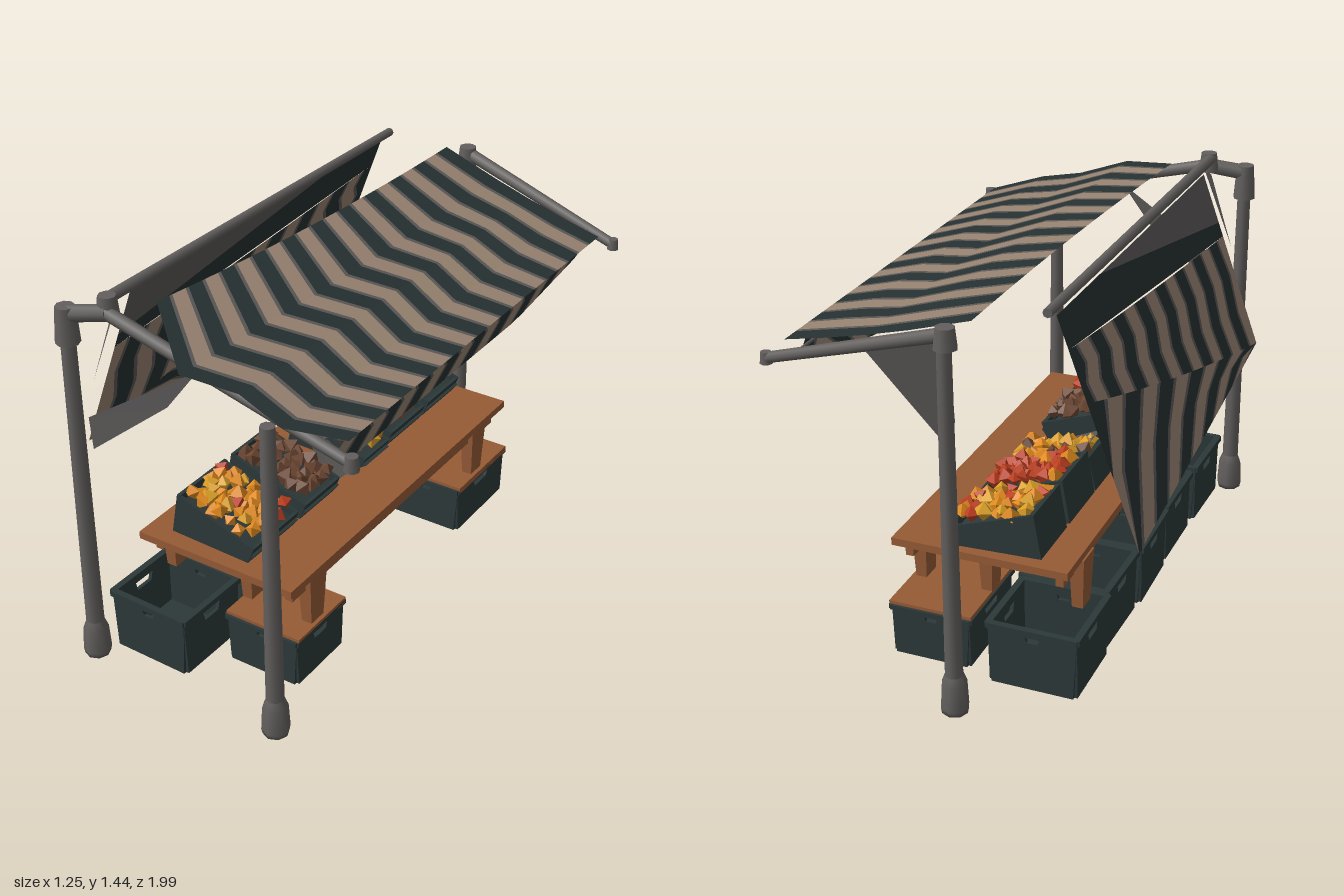
import * as THREE from 'three';
import { mergeGeometries } from 'three/addons/utils/BufferGeometryUtils.js';

const mat = (name, color, flatShading = true, side = THREE.FrontSide) => {
  const m = new THREE.MeshStandardMaterial({ color, side, flatShading });
  m.name = name;
  return m;
};
const lerp = THREE.MathUtils.lerp, clamp = THREE.MathUtils.clamp;
const V = (x, y, z) => new THREE.Vector3(x, y, z);
const shape = pts => new THREE.Shape(pts.map(p => new THREE.Vector2(...p)));

export function createModel() {
  const model = new THREE.Group();
  const metal = mat('pole grey', 0x625f5d, false);
  const wood = mat('table wood', 0x965b36);
  const plastic = mat('crate dark', 0x2c3839);
  const dark = mat('cloth dark', 0x263131, true, THREE.DoubleSide);
  const tan = mat('cloth tan', 0x978270, true, THREE.DoubleSide);
  const grey = mat('cloth grey', 0x5a5857, true, THREE.DoubleSide);
  const orange = mat('fruit orange', 0xe08a1e);
  const red = mat('fruit red', 0xbd3f20);
  const brown = mat('fruit brown', 0x6b4632);
  const yellow = mat('fruit yellow', 0xdca028);

  let seed = 7;
  const rand = () => (seed = (seed * 16807) % 2147483647) / 2147483647;

  const add = (name, geo, material, parent = model) => {
    const m = new THREE.Mesh(geo, material);
    m.name = name;
    parent.add(m);
    return m;
  };
  const box = (name, x0, x1, y0, y1, z0, z1, material, parent) => {
    const m = add(name, new THREE.BoxGeometry(x1 - x0, y1 - y0, z1 - z0), material, parent);
    m.position.set((x0 + x1) / 2, (y0 + y1) / 2, (z0 + z1) / 2);
    return m;
  };
  // tapered bar between two points
  const bar = (name, a, b, r0, r1 = r0, sides = 8) => {
    const m = add(name, new THREE.CylinderGeometry(r1, r0, a.distanceTo(b), sides), metal);
    m.position.copy(a).lerp(b, 0.5);
    m.quaternion.setFromUnitVectors(V(0, 1, 0), b.clone().sub(a).normalize());
  };

  // posts with flared feet
  const post = (name, x, z, top, dz) => {
    bar(name, V(x, 0, z), V(x, top, z + dz), 0.033, 0.025);
    const foot = add(name + 'Foot', new THREE.LatheGeometry(
      [[0, 0], [0.046, 0], [0.05, 0.02], [0.045, 0.11], [0.03, 0.15]].map(p => new THREE.Vector2(...p)), 8), metal);
    foot.position.set(x, 0, z);
  };
  post('frontLeftPost', -0.45, 0.92, 1.33, 0);
  post('frontRightPost', 0.325, 0.92, 1.2, 0);
  post('backPost', -0.05, -0.95, 1.34, -0.01);

  // roof poles and their joints
  bar('frontElbow', V(-0.46, 1.355, 0.92), V(-0.31, 1.38, 0.88), 0.03, 0.028);
  bar('frontRafter', V(-0.33, 1.385, 0.88), V(0.6, 1.15, 0.89), 0.024, 0.019);
  bar('backRafter', V(-0.05, 1.35, -0.95), V(0.6, 1.15, -0.9), 0.024, 0.019);
  bar('ridgePole', V(-0.33, 1.415, 0.86), V(-0.33, 1.415, -0.83), 0.02, 0.016);
  bar('eaveCord', V(0.5, 1.19, 0.88), V(0.5, 1.18, -0.92), 0.006, 0.006, 5);
  const joint = (x, y, z, r, h) => {
    const m = add('poleJoint', new THREE.CylinderGeometry(r * 0.8, r, h, 8), metal);
    m.position.set(x, y, z);
  };
  joint(-0.45, 1.32, 0.92, 0.042, 0.13);
  joint(-0.32, 1.4, 0.865, 0.038, 0.07);
  joint(-0.05, 1.34, -0.95, 0.04, 0.07);
  joint(0.605, 1.15, 0.89, 0.026, 0.05);
  joint(0.605, 1.15, -0.9, 0.022, 0.04);

  // striped cloth: P(s, j) gives a point, s along the stripe sequence, j a column
  const stripes = (name, P, cols, count, s0 = 0, s1 = 1) => {
    const pos = [], geo = new THREE.BufferGeometry();
    const bands = [[0.42, 0], [0.09, 2], [0.4, 1], [0.09, 2]];
    const step = (s1 - s0) / count;
    for (let k = 0; k < count; k++) {
      let s = s0 + k * step;
      for (const [part, index] of bands) {
        const e = s + part * step, start = pos.length / 3;
        for (let j = 0; j < cols - 1; j++) {
          const a = P(s, j), b = P(e, j), c = P(e, j + 1), d = P(s, j + 1);
          for (const p of [a, b, c, a, c, d]) pos.push(p.x, p.y, p.z);
        }
        geo.addGroup(start, pos.length / 3 - start, index);
        s = e;
      }
    }
    geo.setAttribute('position', new THREE.Float32BufferAttribute(pos, 3));
    geo.computeVertexNormals();
    add(name, geo, [dark, tan, grey]);
  };

  // sloping roof cloth with chevron stripes and a ragged front edge
  const roofT = [0, 0.33, 0.55, 0.78, 1];
  const ragged = [-0.2, 0.02, -0.05, -0.02, -0.12];
  const zig = [-0.02, 0.03, -0.025, 0.03, 0];
  stripes('roofCloth', (u, j) => {
    const s = Math.min(u, 1), t = roofT[j], x = lerp(-0.11 - 0.09 * s * s, 0.57, t);
    const z = -0.89 + 0.05 * t + s * (1.86 - 0.05 * t) + ragged[j] * s * s + zig[j] * Math.sin(Math.PI * s);
    return V(x, 1.402 - (x + 0.19) * 0.275 - 0.012 * Math.sin(Math.PI * t), z);
  }, 5, 11, 0, 1.06);

  // valance under the eave
  stripes('valance', (s, j) => {
    const drop = j * (0.5 - (s > 0.9 ? (s - 0.9) * 3 : 0) - (s < 0.25 ? (0.25 - s) * 1.1 : 0));
    return V(0.53 - drop * 0.04, 1.185 - drop * 0.15, -0.8 + s * 1.64 + zig[j + 1]);
  }, 3, 9);

  // fan of triangles over a convex outline
  const panel = (name, pts, material) => {
    const geo = new THREE.BufferGeometry().setFromPoints(pts), index = [];
    for (let i = 1; i < pts.length - 1; i++) index.push(0, i, i + 1);
    geo.setIndex(index);
    geo.computeVertexNormals();
    add(name, geo, material);
  };

  // hanging side cloth: plain top, upright stripes, then a slanting piece below the diagonal fold
  const side = (s, t) => V(lerp(-0.34, -0.62 + 0.04 * s, t), lerp(1.39, 0.63 + 0.11 * s, t), -0.78 + 1.51 * s);
  const fold = s => 0.36 + 0.64 * s;
  stripes('sideClothUpper', (u, j) => {
    const s = clamp(u + [0, 0.015, -0.01, 0][j], 0, 1);
    return side(s, lerp(0.14 + 0.22 * s, fold(s), j / 3));
  }, 4, 8, -0.02, 1.02);
  stripes('sideClothLower', (u, j) => {
    const s = clamp(u - 0.12 * j, 0, 1);
    return side(s, lerp(fold(s), 1, j / 2));
  }, 3, 7, 0, 1.28);
  panel('sideClothBand', [side(0, 0.14), side(1, 0.36), side(1, 0.28), side(0.25, 0), side(0, 0)], dark);
  panel('sideClothTop', [side(0.25, 0), side(1, 0.28), side(1, 0)], grey);

  // loose flaps at both ends
  panel('frontFlap', [V(-0.43, 0.96, 0.88), V(-0.42, 0.84, 0.88), V(-0.1, 1.1, 0.87), V(0.03, 1.27, 0.87)], grey);
  panel('frontGusset', [V(-0.3, 1.38, 0.86), V(-0.35, 1.37, 0.8), V(-0.43, 1.08, 0.84)], grey);
  panel('backFlap', [V(-0.02, 1.29, -0.87), V(-0.02, 1.0, -0.83), V(0.04, 0.93, -0.82), V(0.27, 1.21, -0.86)], grey);
  panel('backFlapPatch', [V(0.04, 1.25, -0.85), V(0.07, 1.16, -0.835), V(0.13, 1.15, -0.835), V(0.19, 1.22, -0.85)], dark);

  // crate: floor, four slotted walls and a rim, base centre at the origin
  const crate = (name, w, h, d) => {
    const g = new THREE.Group();
    g.name = name;
    const wall = (len, x, z, turn, slot) => {
      const s = shape([[-len / 2 + 0.012, 0], [len / 2 - 0.012, 0], [len / 2, h], [-len / 2, h]]);
      const a = len * slot, y0 = h * (0.86 - slot), y1 = h * 0.86;
      s.holes.push(shape([[-a, y1], [a, y1], [a * 0.8, y0], [-a * 0.8, y0]]));
      const geo = new THREE.ExtrudeGeometry(s, { depth: 0.014, bevelEnabled: false }).translate(0, 0, -0.014);
      const m = add('crateWall', geo, plastic, g);
      m.position.set(x, 0, z);
      m.rotation.y = turn;
      const rim = add('crateRim', new THREE.BoxGeometry(len + 0.006, h * 0.09, 0.02), plastic, g);
      rim.position.set(x, h * 0.955, z);
      rim.rotation.y = turn;
    };
    wall(w, 0, d / 2, 0, 0.08);
    wall(w, 0, -d / 2, Math.PI, 0.08);
    wall(d, w / 2, 0, Math.PI / 2, 0.15);
    wall(d, -w / 2, 0, -Math.PI / 2, 0.15);
    box('crateFloor', -w / 2 + 0.01, w / 2 - 0.01, 0, 0.015, -d / 2 + 0.01, d / 2 - 0.01, plastic, g);
    model.add(g);
    return g;
  };

  // row of ground crates, and two that carry the table feet
  [0.71, 0.36, 0.03, -0.29, -0.615].forEach((z, i) => {
    const c = crate('groundCrate', 0.32, 0.235, 0.305);
    c.position.set(-0.25 + (i % 2) * 0.01, 0.012, z);
    c.rotation.y = (i % 3 - 1) * 0.02;
  });
  for (const [z, d] of [[0.575, 0.29], [-0.565, 0.37]]) {
    crate('supportCrate', 0.29, 0.19, d).position.set(0.13, 0.03, z);
    box('footBoard', -0.02, 0.285, 0.208, 0.232, z - d / 2, z + d / 2, wood);
  }

  // table
  box('tableTop', -0.355, 0.285, 0.432, 0.46, -0.715, 0.76, wood);
  for (const x of [-0.31, 0.24]) box('tableApron', x - 0.015, x + 0.015, 0.375, 0.434, -0.67, 0.71, wood);
  for (const z of [0.585, -0.53]) {
    box('tableCrossbar', -0.31, 0.24, 0.405, 0.434, z - 0.05, z + 0.05, wood);
    for (const [x, y0] of [[-0.335, 0.24], [0.25, 0.23], [0.0, 0.23]]) {
      const leg = add('tableLeg', new THREE.CylinderGeometry(0.055, 0.04, 0.434 - y0, 4, 1).rotateY(Math.PI / 4), wood);
      leg.scale.x = 0.7;
      leg.scale.z = 1.3;
      leg.position.set(x, (0.434 + y0) / 2, z);
    }
  }

  // wedge-shaped display crates heaped with produce: z, depth, lowering, fruit mix
  const displays = [
    [0.57, 0.27, 0, [orange, red, yellow, orange]],
    [0.285, 0.22, 0, [brown, brown, brown, brown]],
    [-0.08, 0.17, 0.035, [orange, brown, yellow, orange]],
    [-0.3, 0.245, 0, [red, orange, red, red]],
    [-0.565, 0.235, 0, [orange, yellow, orange, red]],
  ];
  for (const [z, d, low, mats] of displays) {
    const g = new THREE.Group();
    g.name = 'displayCrate';
    model.add(g);
    const slab = (name, pts, z0, z1) => add(name, new THREE.ExtrudeGeometry(shape(pts),
      { depth: z1 - z0, bevelEnabled: false }).translate(0, 0, z0), plastic, g);
    const backTop = 0.632 - low, frontTop = 0.525 - low * 0.5;
    const profile = drop => [[-0.25, 0.472], [0.07, 0.461], [0.095, frontTop - drop], [-0.222, backTop - drop]];
    slab('crateBody', profile(0.03), z - d / 2 + 0.005, z + d / 2 - 0.005);
    slab('crateSide', profile(0), z - d / 2, z - d / 2 + 0.012);
    slab('crateSide', profile(0), z + d / 2 - 0.012, z + d / 2);
    slab('crateBack', [[-0.25, 0.472], [-0.236, 0.472], [-0.208, backTop], [-0.222, backTop]], z - d / 2, z + d / 2);
    slab('crateFront', [[0.056, 0.461], [0.07, 0.461], [0.095, frontTop], [0.081, frontTop]], z - d / 2, z + d / 2);

    const piles = new Map(), nx = 7, nz = Math.round(d / 0.045);
    for (let i = 0; i < nx; i++) for (let k = 0; k < nz; k++) {
      const fx = (i + 0.15 + rand() * 0.7) / nx, fz = (k + 0.15 + rand() * 0.7) / nz - 0.5;
      const geo = new THREE.OctahedronGeometry(0.026 + rand() * 0.013, 0).rotateX(rand() * 3).rotateY(rand() * 3)
        .translate(lerp(-0.2, 0.075, fx), lerp(backTop, frontTop, fx) - 0.012 + rand() * 0.025 + 0.03 * fx,
          z + fz * (d - 0.04));
      const m = mats[Math.floor(rand() * 4)];
      if (!piles.has(m)) piles.set(m, []);
      piles.get(m).push(geo);
    }
    piles.forEach((list, m) => add('produce', mergeGeometries(list), m, g));
  }
  // loose grey sheet leaning between the crates
  panel('leaningSheet', [V(0.04, 0.462, 0.16), V(0.06, 0.462, 0.0), V(-0.2, 0.62, -0.12), V(-0.2, 0.62, 0.02)], grey);

  return model;
}
